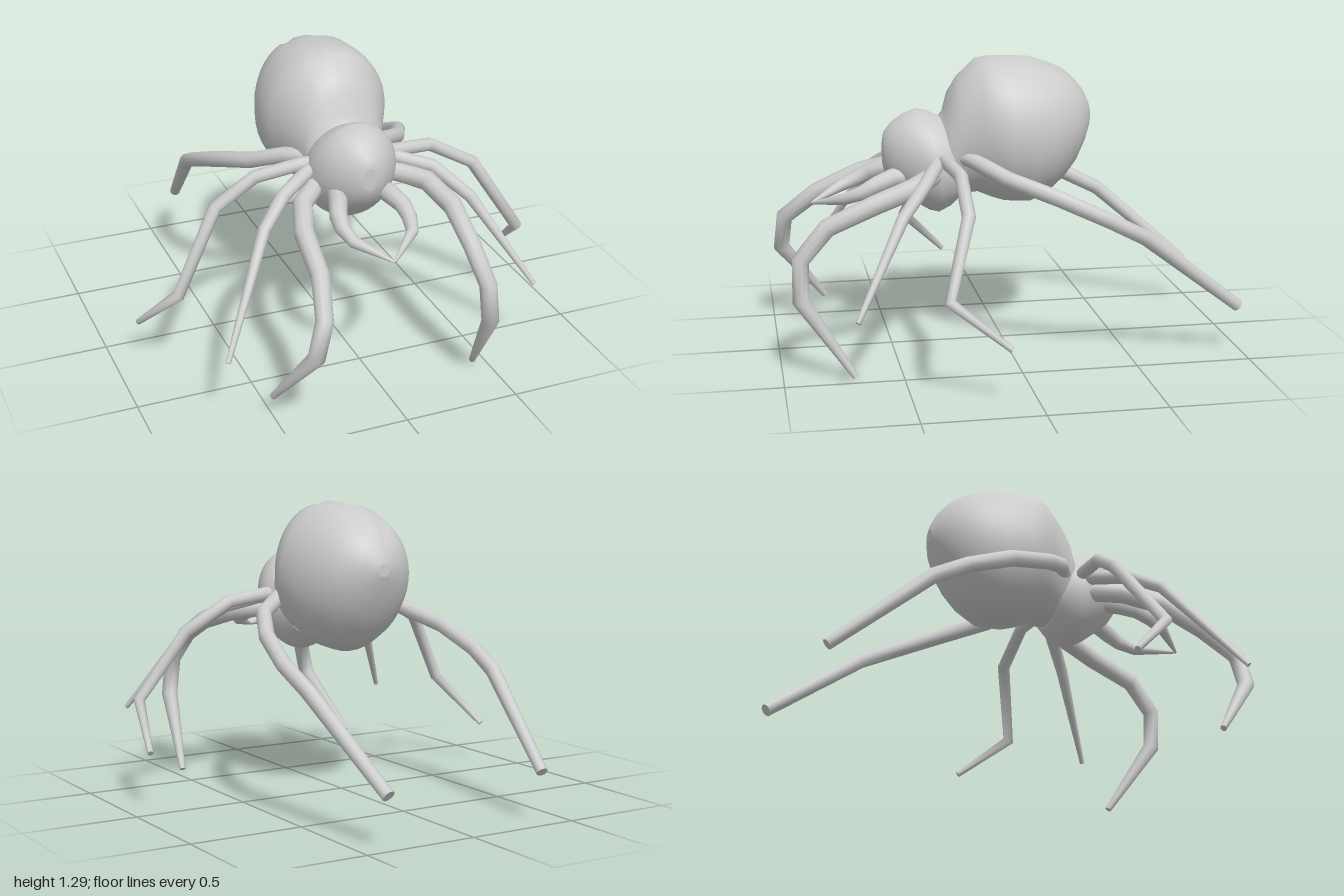
import * as THREE from 'three';

const material = new THREE.MeshStandardMaterial({ color: 0xcccccc });

// Skins a list of closed rings (counter-clockwise about the travel direction) and caps both ends.
function loft(name, rings) {
  const n = rings[0].length;
  const centre = (ring) => ring.reduce((s, p) => s.add(p), new THREE.Vector3()).divideScalar(n);
  const collapse = (ring) => ring.map(() => centre(ring));
  const first = rings[0], last = rings[rings.length - 1];
  const strips = [[collapse(first), first], rings, [last, collapse(last)]];
  const pos = [], index = [];
  for (const strip of strips) {
    const base = pos.length / 3;
    strip.forEach((ring) => ring.forEach((p) => pos.push(p.x, p.y, p.z)));
    for (let i = 0; i < strip.length - 1; i++) {
      for (let j = 0; j < n; j++) {
        const a = base + i * n + j, b = base + i * n + (j + 1) % n;
        index.push(a, b, b + n, a, b + n, a + n);
      }
    }
  }
  const geometry = new THREE.BufferGeometry();
  geometry.setAttribute('position', new THREE.Float32BufferAttribute(pos, 3));
  geometry.setIndex(index);
  geometry.computeVertexNormals();
  const mesh = new THREE.Mesh(geometry, material);
  mesh.name = name;
  return mesh;
}

// Jointed limb through points [x, y, z, radius].
function limb(name, points, sides = 10) {
  const p = points.map(([x, y, z]) => new THREE.Vector3(x, y, z));
  const dirs = p.slice(1).map((q, i) => q.clone().sub(p[i]).normalize());
  let u = new THREE.Vector3(0, 1, 0);
  const rings = p.map((c, i) => {
    const t = new THREE.Vector3().add(dirs[Math.max(i - 1, 0)]).add(dirs[Math.min(i, dirs.length - 1)]).normalize();
    u = u.clone().addScaledVector(t, -u.dot(t)).normalize();
    const v = new THREE.Vector3().crossVectors(t, u);
    return Array.from({ length: sides }, (_, j) => {
      const a = (j / sides) * Math.PI * 2, r = points[i][3];
      return c.clone().addScaledVector(u, Math.cos(a) * r).addScaledVector(v, Math.sin(a) * r);
    });
  });
  return loft(name, rings);
}

// Body segment from sections [z, top, bottom, half width], front to back, optionally grooved on top.
function bodySegment(name, sections, groove = 0, sides = 40) {
  const cx = 0.027;
  const rings = sections.map(([z, top, bottom, w]) => Array.from({ length: sides }, (_, j) => {
    const a = -(j / sides) * Math.PI * 2;
    const x = cx + Math.cos(a) * w;
    let y = (top + bottom) / 2 + Math.sin(a) * (top - bottom) / 2;
    if (Math.sin(a) > 0 && z < 0.15 && z > -0.32) {
      y -= groove * (Math.exp(-(((x + 0.035) / 0.016) ** 2)) + 0.6 * Math.exp(-(((x - 0.065) / 0.016) ** 2)));
    }
    return new THREE.Vector3(x, y, z);
  }));
  return loft(name, rings);
}

export function createModel() {
  const model = new THREE.Group();
  model.name = 'spider';

  // Head and abdomen meet at a narrow neck
  model.add(bodySegment('head', [
    [0.53, 0.93, 0.83, 0.03], [0.523, 0.97, 0.795, 0.06], [0.49, 1.01, 0.745, 0.105],
    [0.44, 1.045, 0.70, 0.15], [0.38, 1.067, 0.65, 0.182], [0.33, 1.055, 0.62, 0.195],
    [0.29, 1.035, 0.61, 0.196], [0.24, 1.02, 0.635, 0.18], [0.19, 0.98, 0.68, 0.15],
  ]));
  model.add(bodySegment('abdomen', [
    [0.29, 1.02, 0.72, 0.13], [0.26, 1.06, 0.69, 0.165], [0.24, 1.14, 0.68, 0.175],
    [0.2, 1.205, 0.685, 0.195], [0.12, 1.28, 0.695, 0.24], [0.06, 1.292, 0.67, 0.27],
    [0, 1.29, 0.65, 0.284], [-0.11, 1.285, 0.643, 0.274], [-0.2, 1.255, 0.69, 0.243],
    [-0.26, 1.228, 0.745, 0.212], [-0.31, 1.185, 0.81, 0.172], [-0.35, 1.136, 0.89, 0.12],
    [-0.375, 1.085, 0.955, 0.065], [-0.386, 1.045, 0.99, 0.028],
  ], 0.014));

  // Legs, from body to foot
  const legs = {
    frontLegLeft: [[0.15, 0.81, 0.3, 0.04], [0.24, 0.8, 0.36, 0.042], [0.33, 0.78, 0.44, 0.044], [0.372, 0.73, 0.6, 0.043],
      [0.367, 0.64, 0.8, 0.04], [0.388, 0.51, 0.915, 0.038], [0.405, 0.34, 0.917, 0.037], [0.447, 0.012, 0.7, 0.014]],
    frontLegRight: [[-0.08, 0.81, 0.3, 0.04], [-0.16, 0.8, 0.36, 0.042], [-0.24, 0.775, 0.44, 0.044], [-0.295, 0.73, 0.6, 0.043],
      [-0.305, 0.64, 0.8, 0.04], [-0.345, 0.52, 0.945, 0.038], [-0.385, 0.37, 0.96, 0.037], [-0.497, 0.095, 0.76, 0.014]],
    secondLegLeft: [[0.15, 0.855, 0.3, 0.028], [0.24, 0.855, 0.325, 0.032], [0.38, 0.815, 0.385, 0.031],
      [0.507, 0.7, 0.5, 0.027], [0.725, 0.335, 0.71, 0.011]],
    secondLegRight: [[-0.1, 0.86, 0.3, 0.028], [-0.18, 0.86, 0.33, 0.032], [-0.32, 0.82, 0.425, 0.031],
      [-0.44, 0.735, 0.525, 0.027], [-0.692, 0.312, 0.78, 0.011]],
    thirdLegLeft: [[0.13, 0.87, 0.3, 0.026], [0.24, 0.87, 0.28, 0.03], [0.43, 0.85, 0.248, 0.029],
      [0.64, 0.73, 0.25, 0.029], [0.82, 0.43, 0.355, 0.026], [0.88, 0.24, 0.115, 0.013]],
    thirdLegRight: [[-0.08, 0.885, 0.3, 0.026], [-0.18, 0.88, 0.28, 0.03], [-0.38, 0.84, 0.25, 0.029],
      [-0.55, 0.725, 0.235, 0.029], [-0.76, 0.405, 0.35, 0.026], [-0.885, 0.19, 0.145, 0.013]],
    backLegLeft: [[0.14, 0.88, 0.23, 0.033], [0.22, 0.87, 0.165, 0.035], [0.37, 0.815, 0.04, 0.035], [0.465, 0.745, -0.16, 0.035],
      [0.5, 0.65, -0.37, 0.034], [0.483, 0.565, -0.53, 0.034], [0.39, 0.215, -0.978, 0.028]],
    backLegRight: [[-0.12, 0.88, 0.21, 0.033], [-0.21, 0.87, 0.15, 0.035], [-0.32, 0.815, 0.04, 0.036], [-0.415, 0.74, -0.18, 0.036],
      [-0.447, 0.65, -0.39, 0.034], [-0.435, 0.575, -0.54, 0.033], [-0.378, 0.215, -0.955, 0.024]],
  };
  for (const [name, points] of Object.entries(legs)) model.add(limb(name, points));

  // Curved feelers meeting in front of the head
  for (const [name, side, shift] of [['feelerLeft', 1, 0.015], ['feelerRight', -1, -0.005]]) {
    model.add(limb(name, [
      [0.09, 0.79, 0.42, 0.038], [0.11, 0.787, 0.5, 0.041], [0.138, 0.765, 0.57, 0.038],
      [0.143, 0.735, 0.63, 0.033], [0.123, 0.705, 0.705, 0.026], [-shift, 0.66, 0.84, 0.006],
    ].map(([x, y, z, r]) => [side * (x + shift), y, z, r])));
  }
  return model;
}
